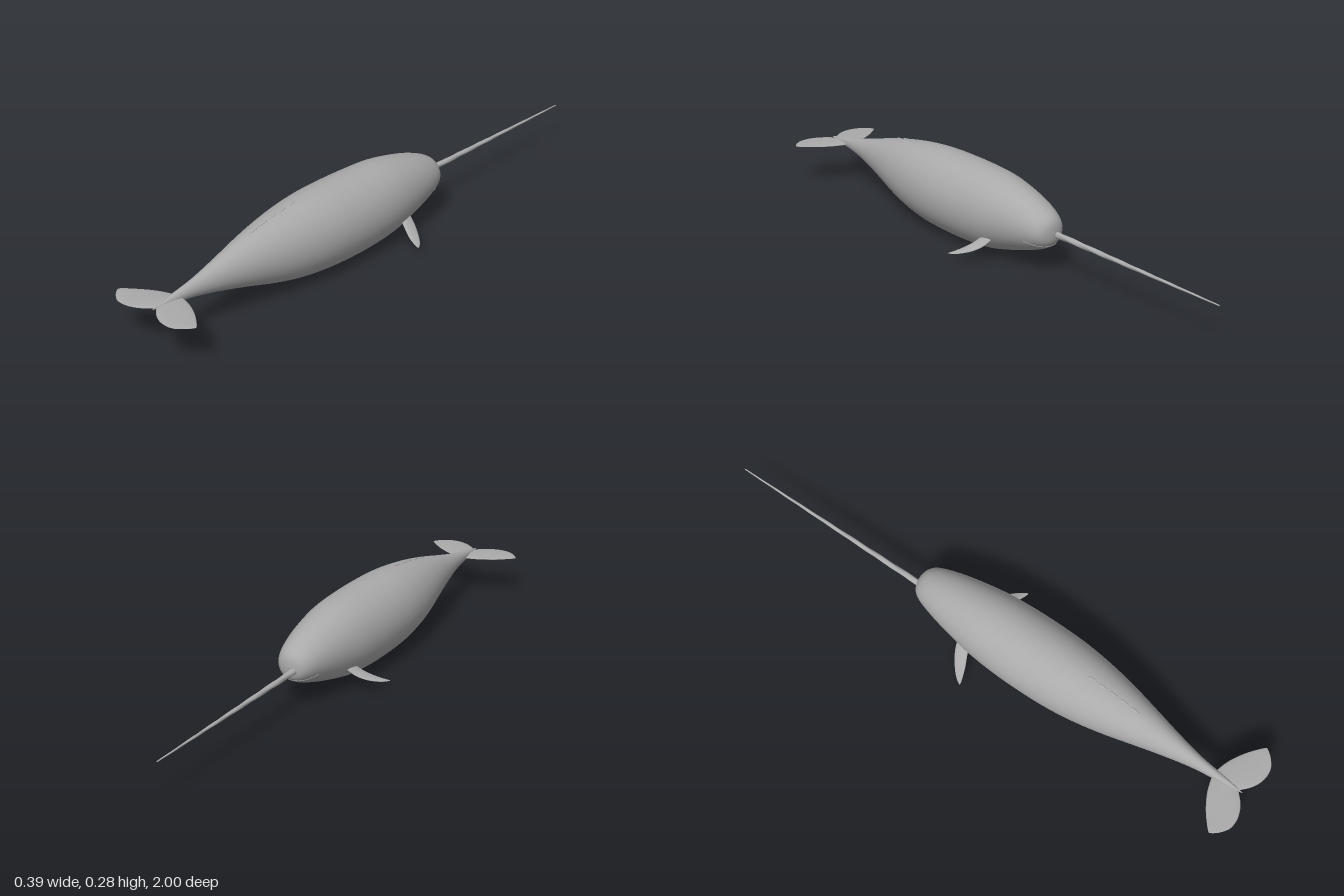
import * as THREE from 'three';

const V = (x, y, z) => new THREE.Vector3(x, y, z);
const SIDES = 40;

// Skin a list of closed rings; flip reverses the face order for mirrored parts
function loft(rings, flip = false) {
  const n = rings[0].length;
  const index = [];
  for (let i = 0; i < rings.length - 1; i++) {
    for (let j = 0; j < n; j++) {
      const a = i * n + j, b = i * n + (j + 1) % n, c = a + n, d = b + n;
      if (flip) index.push(a, c, b, b, c, d);
      else index.push(a, b, c, b, d, c);
    }
  }
  const geometry = new THREE.BufferGeometry().setFromPoints(rings.flat());
  geometry.setIndex(index);
  geometry.computeVertexNormals();
  return geometry;
}

// Body stations from snout to tail: z, half width, bottom y, top y
const stations = [
  [-0.286, 0.001, 0.139, 0.141], [-0.283, 0.022, 0.114, 0.166],
  [-0.274, 0.043, 0.097, 0.184], [-0.255, 0.059, 0.083, 0.201],
  [-0.22, 0.073, 0.068, 0.219], [-0.16, 0.089, 0.048, 0.24],
  [-0.08, 0.105, 0.026, 0.259], [0.0, 0.117, 0.009, 0.271],
  [0.1, 0.124, 0.002, 0.275], [0.2, 0.125, 0.001, 0.276],
  [0.3, 0.121, 0.005, 0.274], [0.4, 0.109, 0.017, 0.265],
  [0.5, 0.09, 0.039, 0.249], [0.6, 0.066, 0.068, 0.227],
  [0.7, 0.042, 0.095, 0.2], [0.8, 0.022, 0.117, 0.175],
  [0.9, 0.011, 0.131, 0.156], [0.965, 0.001, 0.14, 0.143],
];
const lowCurve = new THREE.CatmullRomCurve3(stations.map(([z, w, b]) => V(w, b, z)), false, 'catmullrom', 0.5);
const highCurve = new THREE.CatmullRomCurve3(stations.map(([z, w, , t]) => V(w, t, z)), false, 'catmullrom', 0.5);

// Point on the skin at station number s and angle a (0 = left side, PI/2 = back)
function skin(s, a) {
  const t = s / (stations.length - 1);
  const low = lowCurve.getPoint(t), high = highCurve.getPoint(t);
  const mid = (low.y + high.y) / 2, half = (high.y - low.y) / 2;
  return V(low.x * Math.cos(a), mid + half * Math.sin(a), low.z);
}

function bodyGeometry() {
  const rings = [];
  const steps = (stations.length - 1) * 4;
  for (let i = 0; i <= steps; i++) {
    rings.push(Array.from({ length: SIDES }, (_, j) => skin(i / 4, j / SIDES * Math.PI * 2)));
  }
  return loft(rings);
}

// Lens-shaped fin built outward along x; sections are x, y, front z, rear z, half thickness
function finGeometry(sections, side) {
  const edge = (k) => new THREE.CatmullRomCurve3(sections.map((s) => V(s[0], s[1], s[k])));
  const thick = new THREE.CatmullRomCurve3(sections.map((s) => V(s[0], s[4], 0)), false, 'catmullrom', 0.5);
  const front = edge(2), rear = edge(3), rings = [];
  for (let i = 0; i <= 24; i++) {
    const f = front.getPoint(i / 24), r = rear.getPoint(i / 24), h = thick.getPoint(i / 24).y;
    rings.push(Array.from({ length: 20 }, (_, j) => {
      const a = j / 20 * Math.PI * 2;
      const k = (1 + Math.cos(a)) / 2;
      return V(side * (f.x + (r.x - f.x) * k), f.y + (r.y - f.y) * k - h * Math.sin(a), f.z + (r.z - f.z) * k);
    }));
  }
  return loft(rings, side < 0);
}

const fluke = [
  [0.0, 0.14, 0.855, 0.95, 0.006], [0.03, 0.14, 0.862, 0.977, 0.0055],
  [0.06, 0.14, 0.872, 0.993, 0.005], [0.09, 0.14, 0.887, 0.999, 0.0042],
  [0.12, 0.14, 0.906, 0.995, 0.0034], [0.15, 0.141, 0.93, 0.974, 0.0024],
  [0.164, 0.141, 0.943, 0.957, 0.0015], [0.168, 0.141, 0.949, 0.95, 0.0004],
];
const flipper = [
  [0.08, 0.08, -0.078, -0.032, 0.008], [0.11, 0.058, -0.068, -0.02, 0.007],
  [0.14, 0.043, -0.05, -0.006, 0.005], [0.17, 0.034, -0.025, 0.005, 0.003],
  [0.186, 0.031, -0.007, 0.01, 0.0018], [0.195, 0.03, 0.008, 0.011, 0.0004],
];

// Tapered tusk with a fine spiral groove
function tuskGeometry() {
  const rings = [], n = 16, steps = 160;
  for (let i = 0; i <= steps; i++) {
    const t = i / steps, r = (i === steps ? 0.0003 : 0.0105 - 0.0085 * t);
    rings.push(Array.from({ length: n }, (_, j) => {
      const a = j / n * Math.PI * 2;
      const k = r * (1 + 0.07 * Math.cos(3 * a + t * 44));
      return V(-0.015 - 0.006 * t + k * Math.cos(a), 0.132 - 0.002 * t + k * Math.sin(a), -0.25 - 0.75 * t);
    }));
  }
  return loft(rings, true);
}

export function createModel() {
  const model = new THREE.Group();
  model.name = 'tuskedWhale';
  const grey = new THREE.MeshStandardMaterial({ color: 0xaaaaaa });
  grey.name = 'grey skin';
  const add = (name, geometry) => {
    const mesh = new THREE.Mesh(geometry, grey);
    mesh.name = name;
    model.add(mesh);
    return mesh;
  };

  add('body', bodyGeometry());
  add('tusk', tuskGeometry());

  // The head points to -z and the tail to +z
  for (const [side, label] of [[1, 'left'], [-1, 'right']]) {
    add(label + 'Fluke', finGeometry(fluke, side));
    add(label + 'Flipper', finGeometry(flipper, side));
  }

  // Low bumps along the rear of the back
  for (let i = 0; i < 5; i++) {
    const bump = add('backRidge', new THREE.SphereGeometry(1, 12, 8));
    bump.scale.set(0.005, 0.003, 0.018);
    bump.position.copy(skin(10.9 + i * 0.4, Math.PI / 2));
    bump.rotation.x = 0.2;
  }

  // Lip line wrapped under the snout
  const lip = [];
  for (let i = 0; i <= 12; i++) {
    const u = i / 6 - 1;
    lip.push(skin(2.2 + 1.9 * u * u, -Math.PI / 2 + u * 1.1));
  }
  add('mouth', new THREE.TubeGeometry(new THREE.CatmullRomCurve3(lip), 40, 0.0015, 6));

  return model;
}
